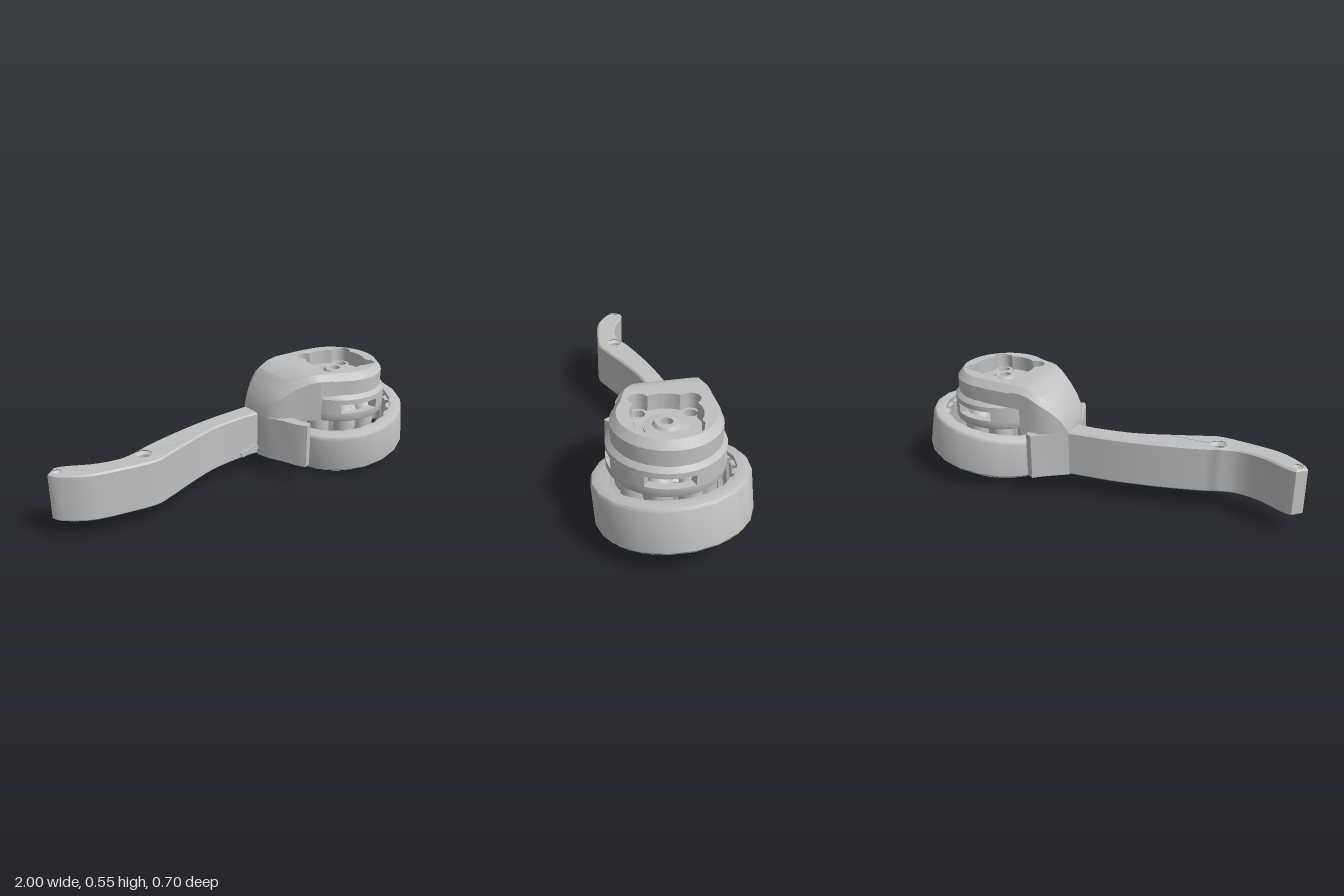
import * as THREE from 'three';
import { toCreasedNormals } from 'three/addons/utils/BufferGeometryUtils.js';

const steel = new THREE.MeshStandardMaterial({ color: 0xc0c0c0, side: THREE.DoubleSide });
steel.name = 'light steel grey';
const rad = THREE.MathUtils.degToRad;
const HUB = [0.59, 0.015]; // x, z of the head axis

function add(parent, name, geo, x = 0, y = 0, z = 0) {
  const mesh = new THREE.Mesh(toCreasedNormals(geo, 0.6), steel);
  mesh.name = name;
  mesh.position.set(x, y, z);
  parent.add(mesh);
  return mesh;
}

// Plan outlines are [x, z]; extrusion goes up from y0 to y1.
const plan = (pts) => pts.map(([x, z]) => new THREE.Vector2(x, -z));
function extrudeUp(shape, y0, y1, bevel = 0) {
  const geo = new THREE.ExtrudeGeometry(shape, {
    depth: y1 - y0 - 2 * bevel, curveSegments: 20, bevelEnabled: bevel > 0,
    bevelSize: bevel, bevelThickness: bevel, bevelOffset: -bevel, bevelSegments: 1,
  });
  return geo.rotateX(-Math.PI / 2).translate(0, y0 + bevel, 0);
}
const circlePath = (x, z, r) => new THREE.Path().absarc(x, -z, r, 0, Math.PI * 2, true);

// Closed [radius, y] profile swept over an arc; angles run from +x towards +z.
function arcSweep(parent, name, profile, seg, from = 0, to = 360) {
  const group = new THREE.Group();
  group.name = name;
  const pts = [...profile, profile[0]].map(([r, y]) => new THREE.Vector2(r, y));
  const start = Math.PI / 2 - rad(to), length = rad(to - from);
  add(group, name + 'Body', new THREE.LatheGeometry(pts, seg, start, length));
  if (to - from < 360) {
    for (const phi of [start, start + length]) {
      const end = add(group, name + 'End', new THREE.ShapeGeometry(new THREE.Shape(pts.slice(0, -1))));
      end.rotation.y = phi - Math.PI / 2;
    }
  }
  parent.add(group);
  return group;
}

function buildHandle(root) {
  const back = [[-0.955, -0.1], [-0.9, -0.085], [-0.8, -0.035], [-0.7, -0.01], [-0.62, -0.018],
    [-0.5, -0.06], [-0.3, -0.11], [-0.1, -0.145], [0.05, -0.158], [0.16, -0.168]];
  const front = [[0.16, -0.05], [0.05, -0.055], [-0.1, -0.04], [-0.2, -0.018], [-0.35, 0.035],
    [-0.48, 0.085], [-0.56, 0.108], [-0.7, 0.092], [-0.86, 0.058], [-0.97, -0.015], [-0.998, -0.06]];
  const smooth = (p) => new THREE.SplineCurve(plan(p)).getPoints(28);
  const shape = new THREE.Shape([...smooth(back), ...smooth(front)]);
  // Countersunk holes: a wide bore with a narrower sleeve set into it
  for (const [x, z, r] of [[-0.955, -0.053, 0.028], [-0.57, 0.015, 0.046]]) {
    shape.holes.push(circlePath(x, z, r));
    arcSweep(root, 'holeSleeve', [[r * 0.66, 0.12], [r, 0.108], [r, 0.322], [r * 0.66, 0.31]], 24).position.set(x, 0, z);
  }
  add(root, 'handle', extrudeUp(shape, 0.1, 0.33, 0.008));
  add(root, 'handleSeam', new THREE.BoxGeometry(0.2, 0.006, 0.008), -0.43, 0.329, 0.012);
  const ledge = add(root, 'handleLedge', new THREE.BoxGeometry(0.1, 0.025, 0.03), 0.07, 0.14, -0.045);
  ledge.rotation.set(0, -0.15, 0.35);
}

function buildGuard(root) {
  // Curved wall that wraps the near side of the ring
  const shape = new THREE.Shape(plan([[0.13, -0.165], [0.2, -0.212], [0.25, -0.25], [0.28, -0.275],
    [0.315, -0.255], [0.305, -0.2], [0.28, -0.1], [0.265, 0], [0.238, 0.08], [0.25, 0.15],
    [0.27, 0.2], [0.232, 0.218], [0.205, 0.175], [0.18, 0.1], [0.145, 0.03], [0.13, -0.03]]));
  add(root, 'guardWall', extrudeUp(shape, 0.1, 0.325));
}

function buildShoulder(root) {
  // Sections: x, back z, front z, bottom y, top y
  const sections = [[0.13, -0.165, -0.01, 0.31, 0.36], [0.16, -0.185, 0.04, 0.31, 0.42],
    [0.2, -0.21, 0.07, 0.31, 0.465], [0.25, -0.235, 0.1, 0.31, 0.505], [0.31, -0.235, 0.14, 0.31, 0.535],
    [0.36, -0.235, 0.175, 0.31, 0.545], [0.361, -0.235, 0.175, 0.435, 0.545], [0.41, -0.235, 0.198, 0.435, 0.545]];
  const pos = [], index = [], c = 0.03, n = 6;
  for (const [x, a, b, y0, y1] of sections) {
    pos.push(x, y0, a, x, y0, b, x, y1 - c, b, x, y1, b - c, x, y1, a + c, x, y1 - c, a);
  }
  const last = (sections.length - 1) * n;
  for (let s = 0; s < last; s += n) {
    for (let i = 0; i < n; i++) {
      const j = (i + 1) % n;
      index.push(s + i, s + n + i, s + j, s + j, s + n + i, s + n + j);
    }
  }
  for (let i = 1; i < n - 1; i++) index.push(0, i, i + 1, last, last + i + 1, last + i);
  const geo = new THREE.BufferGeometry();
  geo.setAttribute('position', new THREE.Float32BufferAttribute(pos, 3));
  geo.setIndex(index);
  add(root, 'shoulder', geo);
}

function buildCap(root) {
  const [cx, cz] = HUB;
  const outline = [[0.37, -0.235], [0.45, -0.235], [0.55, -0.232]];
  for (let a = -90; a <= 125; a += 10) {
    outline.push([cx + 0.24 * Math.cos(rad(a)), cz + 0.24 * Math.sin(rad(a))]);
  }
  outline.push([0.452, 0.212], [0.37, 0.18]);
  const bolts = [55, 145, 235, 325].map(rad), boltR = 0.16, lobeR = 0.045;

  // Round recess with four lobes around the bolt holes
  const recess = [];
  for (let i = 0; i < 120; i++) {
    const t = (i / 120) * Math.PI * 2;
    let r = 0.155;
    for (const b of bolts) {
      const side = boltR * Math.sin(t - b), along = boltR * Math.cos(t - b);
      if (along > 0 && Math.abs(side) < lobeR) r = Math.max(r, along + Math.sqrt(lobeR ** 2 - side ** 2));
    }
    recess.push([cx + r * Math.cos(t), cz + r * Math.sin(t)]);
  }
  const shape = new THREE.Shape(plan(outline));
  shape.holes.push(new THREE.Path(plan(recess)));
  add(root, 'capWall', extrudeUp(shape, 0.435, 0.51));

  // Sloping rim: the top of the outer edge is drawn inwards
  const rim = extrudeUp(shape, 0.51, 0.545);
  const p = rim.attributes.position;
  for (let i = 0; i < p.count; i++) {
    const dx = p.getX(i) - cx, dz = p.getZ(i) - cz;
    if (p.getY(i) > 0.53 && Math.hypot(dx, dz) > 0.215) p.setXYZ(i, cx + dx * 0.88, 0.545, cz + dz * 0.88);
  }
  add(root, 'capRim', rim);

  const floor = new THREE.Shape().absarc(cx, -cz, 0.225, 0, Math.PI * 2);
  for (const b of bolts) floor.holes.push(circlePath(cx + boltR * Math.cos(b), cz + boltR * Math.sin(b), 0.03));
  add(root, 'capFloor', extrudeUp(floor, 0.436, 0.47));
  arcSweep(root, 'centreBoss', [[0.028, 0.46], [0.1, 0.46], [0.1, 0.478], [0.06, 0.485],
    [0.05, 0.5], [0.028, 0.5]], 28).position.set(cx, 0, cz);
}

function buildJoint(root) {
  const joint = new THREE.Group();
  joint.name = 'ballJoint';
  joint.position.set(HUB[0], 0, HUB[1]);
  root.add(joint);
  // Cage with four side windows
  arcSweep(joint, 'cageTop', [[0.02, 0.395], [0.2, 0.39], [0.26, 0.39], [0.26, 0.415], [0.242, 0.436], [0.02, 0.436]], 28);
  arcSweep(joint, 'cageBottom', [[0.205, 0.3], [0.255, 0.3], [0.26, 0.308], [0.26, 0.342], [0.22, 0.342]], 28);
  for (let k = 0; k < 4; k++) {
    const a = 10 + 90 * k;
    arcSweep(joint, 'cagePillar', [[0.215, 0.335], [0.26, 0.335], [0.26, 0.395], [0.215, 0.395]], 6, a + 24, a + 66);
  }
  // Core with round-ended columns set around it
  arcSweep(joint, 'core', [[0, 0.145], [0.13, 0.145], [0.15, 0.17], [0.17, 0.22], [0.17, 0.31], [0.14, 0.335],
    [0.06, 0.345], [0.06, 0.4], [0, 0.4]], 24);
  for (let k = 0; k < 8; k++) {
    const a = rad(22.5 + 45 * k);
    add(joint, 'ballColumn', new THREE.CapsuleGeometry(0.055, 0.12, 6, 16), 0.17 * Math.cos(a), 0.24, 0.17 * Math.sin(a));
  }
}

function buildRing(root) {
  const ring = new THREE.Group();
  ring.name = 'tiltedRing';
  ring.position.set(0.644, 0.185, 0);
  ring.rotation.set(rad(3.5), 0, rad(9.5));
  root.add(ring);
  arcSweep(ring, 'ringShell', [[0.285, -0.122], [0.305, -0.122], [0.338, -0.108], [0.345, -0.098], [0.345, 0.085],
    [0.338, 0.096], [0.315, 0.105], [0.285, 0.105]], 20);
  // Fluted lining
  const flutes = 22, pts = [];
  for (let i = 0; i < flutes * 8; i++) {
    const t = (i / (flutes * 8)) * Math.PI * 2;
    const r = 0.262 + 0.026 * Math.max(0, Math.sin(t * flutes));
    pts.push([r * Math.cos(t), r * Math.sin(t)]);
  }
  const lining = new THREE.Shape().absarc(0, 0, 0.297, 0, Math.PI * 2);
  lining.holes.push(new THREE.Path(plan(pts)));
  add(ring, 'flutedLining', extrudeUp(lining, -0.12, 0.085));
  // Four claws under the ring, with gaps between
  for (let k = 0; k < 4; k++) {
    const a = 5 + 90 * k;
    arcSweep(ring, 'claw', [[0.255, -0.138], [0.29, -0.138], [0.336, -0.108], [0.255, -0.108]], 5, a + 25, a + 65);
  }
}

export function createModel() {
  const root = new THREE.Group();
  root.name = 'jointedHandle';
  buildHandle(root);
  buildGuard(root);
  buildShoulder(root);
  buildCap(root);
  buildJoint(root);
  buildRing(root);
  return root;
}
